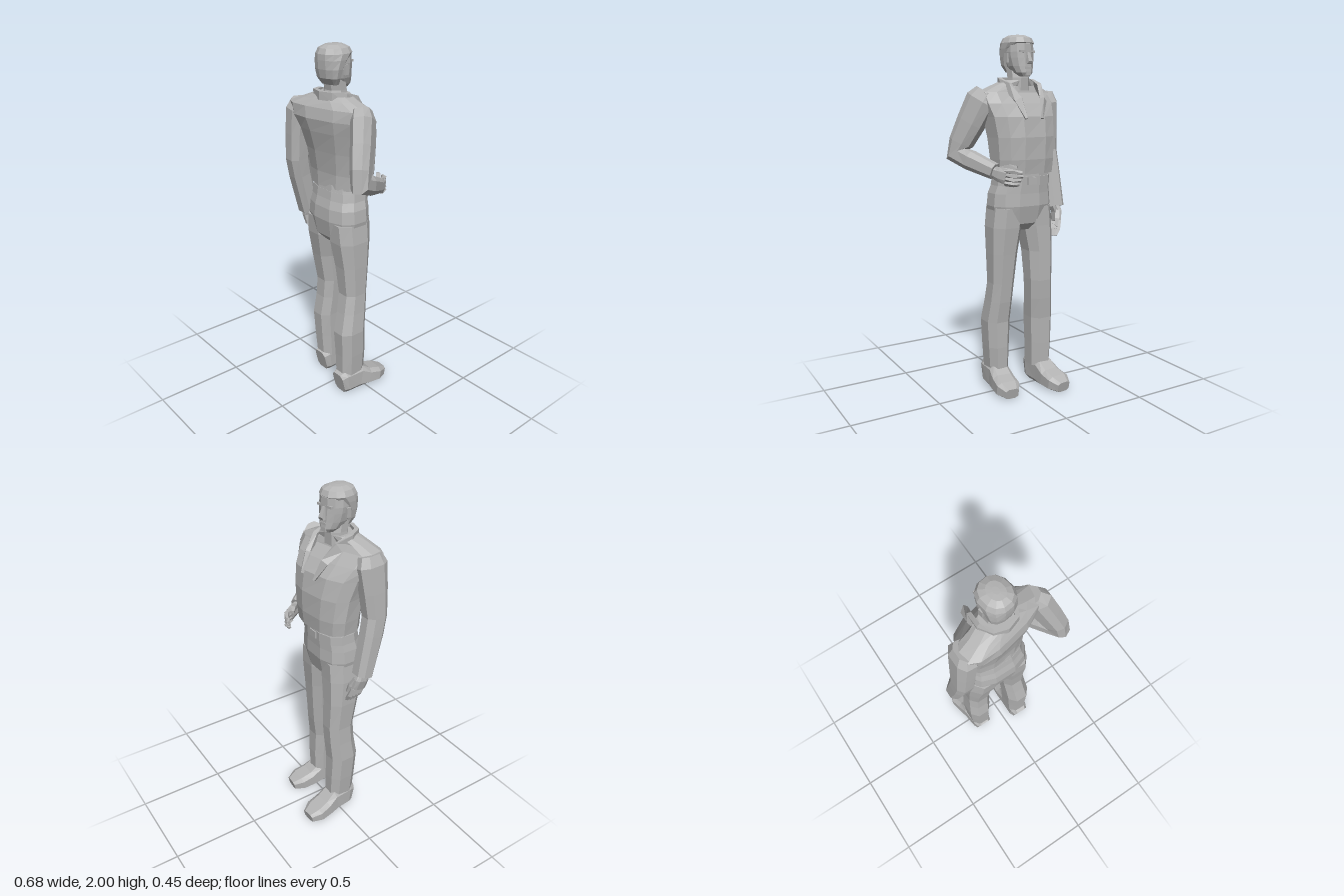
import * as THREE from 'three';

const grey = new THREE.MeshStandardMaterial({ color: 0xb4b4b4 });
grey.name = 'plain grey';

const V = (x, y, z) => new THREE.Vector3(x, y, z);

// Faceted skin through cross-sections [x, y, z, halfWidth, halfDepth, yaw].
// level: keep sections horizontal; hint(p): width direction; e: squareness.
function loft(name, sections, { n = 8, e = 0.8, level = false, hint = null } = {}) {
  const centres = sections.map(s => V(s[0], s[1], s[2]));
  const last = sections.length - 1;
  const k = Math.pow(Math.cos(Math.PI / n), e);
  const power = c => Math.sign(c) * Math.pow(Math.abs(c), e) / k;
  const rings = sections.map((s, i) => {
    const d = V(0, 1, 0);
    if (!level) {
      d.set(0, 0, 0);
      if (i > 0) d.add(centres[i].clone().sub(centres[i - 1]).normalize());
      if (i < last) d.add(centres[i + 1].clone().sub(centres[i]).normalize());
      d.normalize();
    }
    const yaw = s[5] || 0;
    const u = hint ? hint(centres[i]) : V(Math.cos(yaw), 0, -Math.sin(yaw));
    u.addScaledVector(d, -u.dot(d)).normalize();
    const v = u.clone().cross(d);
    return Array.from({ length: n }, (_, j) => {
      const t = (j + 0.5) / n * Math.PI * 2;
      return centres[i].clone().addScaledVector(u, s[3] * power(Math.cos(t)))
        .addScaledVector(v, s[4] * power(Math.sin(t)));
    });
  });
  const out = [];
  const tri = (...pts) => pts.forEach(p => out.push(p.x, p.y, p.z));
  for (let j = 0; j < n; j++) {
    const m = (j + 1) % n;
    for (let i = 0; i < last; i++) {
      const p = rings[i], q = rings[i + 1];
      tri(p[j], q[j], p[m]);
      tri(p[m], q[j], q[m]);
    }
    tri(rings[0][j], rings[0][m], centres[0]);
    tri(rings[last][m], rings[last][j], centres[last]);
  }
  const g = new THREE.BufferGeometry();
  g.setAttribute('position', new THREE.Float32BufferAttribute(out, 3));
  g.computeVertexNormals();
  const mesh = new THREE.Mesh(g, grey);
  mesh.name = name;
  return mesh;
}

function box(name, w, h, d, x, y, z) {
  const m = new THREE.Mesh(new THREE.BoxGeometry(w, h, d), grey);
  m.name = name;
  m.position.set(x, y, z);
  return m;
}

// Shoe running from heel to toe along -z
function shoe(name, x, z, splay) {
  return loft(name, [
    [x, 0.065, z, 0.045, 0.065],
    [x, 0.072, z - 0.03, 0.057, 0.072],
    [x + splay * 0.3, 0.072, z - 0.13, 0.06, 0.072],
    [x + splay * 0.6, 0.052, z - 0.19, 0.066, 0.052],
    [x + splay, 0.042, z - 0.26, 0.068, 0.042],
    [x + splay * 1.2, 0.03, z - 0.315, 0.04, 0.03]
  ], { e: 0.55 });
}

// Finger through three points
function finger(name, a, b, c, r) {
  return loft(name, [[...a, r, r], [...b, r, r], [...c, r * 0.6, r * 0.6]],
    { n: 4, e: 1, hint: () => V(0.6, 0.3, 0.5) });
}

export function createModel() {
  const model = new THREE.Group();
  model.name = 'standingMan';

  // Jacket body, turned slightly towards -x
  model.add(loft('jacket', [
    [-0.035, 1.25, 0.015, 0.178, 0.118, 0.1],
    [-0.035, 1.33, 0.012, 0.186, 0.122, 0.12],
    [-0.032, 1.45, 0.022, 0.196, 0.13, 0.16],
    [-0.03, 1.56, 0.045, 0.215, 0.133, 0.2],
    [-0.033, 1.63, 0.075, 0.24, 0.118, 0.22],
    [-0.035, 1.69, 0.095, 0.245, 0.09, 0.22],
    [-0.035, 1.725, 0.09, 0.16, 0.075, 0.2],
    [-0.035, 1.755, 0.075, 0.085, 0.07, 0.15]
  ], { n: 12, e: 0.75, level: true }));

  // Collar running round the neck into two lapels
  model.add(loft('collar', [
    [-0.09, 1.55, -0.112, 0.008, 0.006], [-0.122, 1.65, -0.07, 0.012, 0.02],
    [-0.138, 1.715, 0.0, 0.012, 0.026], [-0.135, 1.742, 0.08, 0.012, 0.024],
    [-0.095, 1.75, 0.14, 0.012, 0.022], [-0.03, 1.75, 0.158, 0.012, 0.022],
    [0.035, 1.75, 0.135, 0.012, 0.022], [0.066, 1.742, 0.075, 0.012, 0.024],
    [0.058, 1.715, 0.0, 0.012, 0.026], [0.035, 1.65, -0.07, 0.012, 0.02],
    [0.015, 1.55, -0.118, 0.008, 0.006]
  ], { n: 4, e: 0.6, hint: p => V(p.x + 0.035, 0, p.z - 0.06) }));

  // Hips, belt and buckle
  model.add(loft('hips', [
    [-0.03, 0.93, 0.045, 0.07, 0.07],
    [-0.031, 0.97, 0.045, 0.165, 0.105],
    [-0.031, 1.07, 0.042, 0.182, 0.124],
    [-0.031, 1.14, 0.04, 0.176, 0.12],
    [-0.035, 1.2, 0.03, 0.16, 0.112],
    [-0.037, 1.27, 0.025, 0.152, 0.105]
  ], { n: 12, level: true }));
  model.add(loft('belt', [
    [-0.035, 1.185, 0.03, 0.168, 0.116], [-0.036, 1.235, 0.025, 0.163, 0.112]
  ], { n: 12, level: true }));
  model.add(box('beltBuckle', 0.055, 0.04, 0.012, -0.04, 1.21, -0.088));

  // Trouser legs
  model.add(loft('leftLeg', [
    [0.103, 0.11, 0.075, 0.058, 0.08],
    [0.105, 0.25, 0.075, 0.065, 0.084],
    [0.103, 0.4, 0.08, 0.072, 0.086],
    [0.095, 0.52, 0.058, 0.068, 0.08],
    [0.088, 0.63, 0.042, 0.067, 0.074],
    [0.08, 0.8, 0.042, 0.078, 0.088],
    [0.068, 0.95, 0.045, 0.09, 0.106],
    [0.06, 1.06, 0.045, 0.086, 0.11]
  ], { level: true }));
  model.add(loft('rightLeg', [
    [-0.145, 0.11, 0.02, 0.059, 0.078],
    [-0.15, 0.25, 0.024, 0.065, 0.082],
    [-0.153, 0.4, 0.03, 0.07, 0.084],
    [-0.146, 0.52, 0.016, 0.069, 0.08],
    [-0.141, 0.63, 0.01, 0.07, 0.08],
    [-0.143, 0.8, 0.026, 0.077, 0.092],
    [-0.13, 0.95, 0.042, 0.09, 0.106],
    [-0.122, 1.06, 0.045, 0.086, 0.11]
  ], { level: true }));
  model.add(shoe('leftShoe', 0.105, 0.162, 0.017));
  model.add(shoe('rightShoe', -0.147, 0.095, -0.024));

  // Hanging right arm and hand
  model.add(loft('rightSleeve', [
    [-0.24, 1.69, 0.115, 0.045, 0.06],
    [-0.252, 1.64, 0.118, 0.056, 0.082],
    [-0.266, 1.5, 0.128, 0.054, 0.072],
    [-0.276, 1.36, 0.135, 0.054, 0.062],
    [-0.282, 1.26, 0.115, 0.053, 0.06],
    [-0.287, 1.03, 0.062, 0.053, 0.05]
  ]));
  const rightHand = new THREE.Group();
  rightHand.name = 'rightHand';
  rightHand.add(loft('rightPalm', [
    [-0.287, 1.05, 0.064, 0.026, 0.03],
    [-0.295, 1.0, 0.05, 0.022, 0.042],
    [-0.285, 0.945, 0.038, 0.016, 0.042]
  ]));
  for (let i = 0; i < 4; i++) {
    const z = 0.068 - i * 0.021;
    rightHand.add(finger('rightFinger', [-0.287, 0.955, z], [-0.272, 0.905, z - 0.012],
      [-0.252, 0.862 + Math.abs(i - 1.5) * 0.006, z - 0.018], 0.011));
  }
  rightHand.add(finger('rightThumb', [-0.285, 1.01, 0.025], [-0.268, 0.965, 0.0],
    [-0.256, 0.925, -0.01], 0.012));
  model.add(rightHand);

  // Bent left arm with the hand in front of the waist
  model.add(loft('leftSleeve', [
    [0.165, 1.69, 0.05, 0.045, 0.06],
    [0.19, 1.645, 0.062, 0.056, 0.085],
    [0.232, 1.53, 0.105, 0.054, 0.078],
    [0.272, 1.42, 0.148, 0.05, 0.066],
    [0.288, 1.355, 0.162, 0.046, 0.066],
    [0.25, 1.325, 0.085, 0.048, 0.052],
    [0.172, 1.27, -0.05, 0.04, 0.042]
  ], { hint: () => V(0.85, 0, -0.5) }));
  const leftHand = new THREE.Group();
  leftHand.name = 'leftHand';
  leftHand.add(loft('leftPalm', [
    [0.178, 1.27, -0.04, 0.024, 0.028],
    [0.163, 1.257, -0.085, 0.018, 0.04],
    [0.142, 1.247, -0.125, 0.014, 0.042]
  ], { hint: () => V(0.85, 0, -0.5) }));
  for (let i = 0; i < 4; i++) {
    const y = 1.278 - i * 0.022;
    leftHand.add(finger('leftFinger', [0.147, y, -0.115], [0.118, y - 0.004, -0.157],
      [0.07 + Math.abs(i - 1) * 0.008, y - 0.008, -0.182 + i * 0.008], 0.011));
  }
  leftHand.add(finger('leftThumb', [0.155, 1.285, -0.08], [0.115, 1.298, -0.115],
    [0.085, 1.295, -0.138], 0.012));
  model.add(leftHand);

  // Head, in its own frame facing -z, turned with the body
  const head = new THREE.Group();
  head.name = 'head';
  head.position.set(-0.036, 0, 0.06);
  head.rotation.y = 0.15;
  head.add(loft('neck', [
    [0, 1.7, 0.005, 0.066, 0.064], [0, 1.77, -0.005, 0.058, 0.056], [0, 1.84, 0.01, 0.056, 0.056]
  ], { level: true, e: 1 }));
  head.add(loft('face', [
    [0, 1.775, -0.05, 0.03, 0.035],
    [0, 1.795, -0.035, 0.05, 0.06],
    [0, 1.83, -0.018, 0.065, 0.073],
    [0, 1.875, -0.01, 0.074, 0.078],
    [0, 1.905, -0.008, 0.077, 0.078],
    [0, 1.95, -0.006, 0.074, 0.078],
    [0, 1.985, 0.0, 0.055, 0.06]
  ], { n: 12, e: 0.9, level: true }));
  head.add(loft('hair', [
    [0, 1.8, 0.035, 0.052, 0.025],
    [0, 1.835, 0.045, 0.07, 0.042],
    [0, 1.88, 0.042, 0.079, 0.054],
    [0, 1.925, 0.024, 0.084, 0.074],
    [0, 1.955, 0.005, 0.084, 0.092],
    [0, 1.982, 0.005, 0.07, 0.08],
    [0, 1.997, 0.008, 0.04, 0.05],
    [0, 2.0, 0.008, 0.015, 0.02]
  ], { n: 12, e: 0.9, level: true }));
  head.add(loft('nose', [
    [0, 1.842, -0.088, 0.016, 0.018], [0, 1.855, -0.092, 0.014, 0.02], [0, 1.905, -0.082, 0.008, 0.009]
  ], { n: 4, e: 0.8, level: true }));
  head.add(box('lips', 0.04, 0.012, 0.014, 0, 1.82, -0.088));
  head.add(box('chin', 0.035, 0.02, 0.014, 0, 1.79, -0.088));
  for (const s of [-1, 1]) {
    head.add(box('brow', 0.042, 0.012, 0.014, s * 0.03, 1.908, -0.08));
    head.add(box('ear', 0.014, 0.05, 0.026, s * 0.079, 1.875, 0.0));
  }
  model.add(head);
  return model;
}
